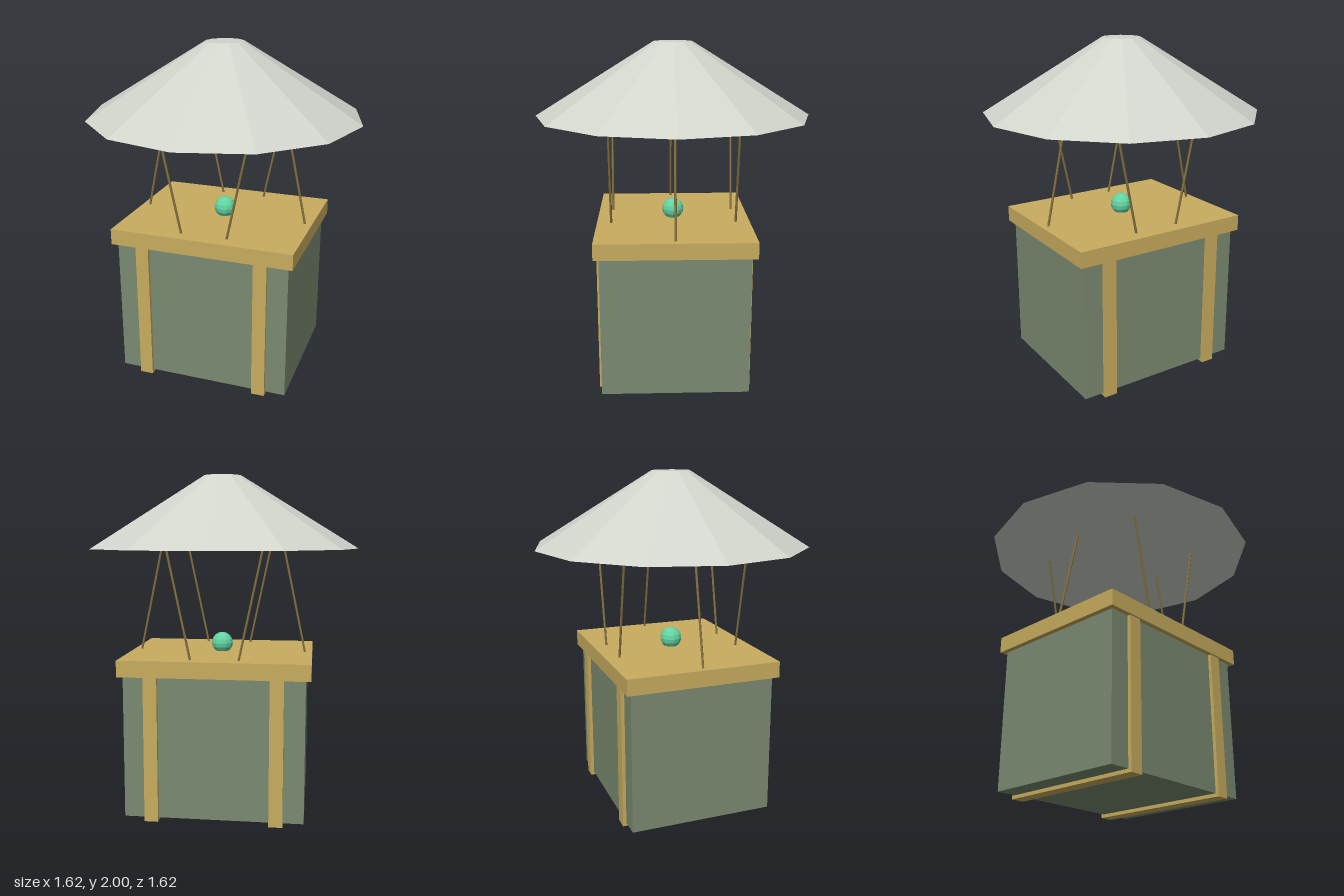
import * as THREE from 'three';

const material = (name, color) => {
  const m = new THREE.MeshStandardMaterial({ color, flatShading: true });
  m.name = name;
  return m;
};

export function createModel() {
  const crateGreen = material('crate green', 0x7a8a70);
  const wood = material('wood', 0xc8ac5e);
  const canvas = material('canvas grey', 0xd0d4cb);
  const rope = material('rope brown', 0x84703f);
  const jade = material('jade', 0x62d4a2);

  const model = new THREE.Group();
  model.name = 'parachuteCrate';
  const add = (name, geometry, mat, x, y, z) => {
    const mesh = new THREE.Mesh(geometry, mat);
    mesh.name = name;
    mesh.position.set(x, y, z);
    model.add(mesh);
    return mesh;
  };

  // Crate, lid and the ball on top
  add('crateBody', new THREE.BoxGeometry(1.04, 0.84, 0.856), crateGreen, 0, 0.44, 0);
  add('lid', new THREE.BoxGeometry(1.1, 0.095, 0.916), wood, 0, 0.899, 0);
  add('ball', new THREE.SphereGeometry(0.065, 12, 8), jade, 0, 0.995, 0);

  // Straps wrapping the front, bottom and back
  for (const s of [-1, 1]) {
    add('strap', new THREE.BoxGeometry(0.08, 0.86, 0.896), wood, s * 0.36, 0.43, 0);
  }

  // Canopy
  add('canopy', new THREE.CylinderGeometry(0.113, 0.812, 0.43, 12), canvas, 0, 1.785, 0);

  // Suspension ropes: [bottom x, top x, z]
  const up = new THREE.Vector3(0, 1, 0);
  const addRope = (x0, x1, z) => {
    const a = new THREE.Vector3(x0, 0.935, z);
    const b = new THREE.Vector3(x1, 1.575, z);
    const d = b.clone().sub(a);
    const mesh = add('rope', new THREE.CylinderGeometry(0.007, 0.007, d.length(), 6), rope,
      (x0 + x1) / 2, (a.y + b.y) / 2, z);
    mesh.quaternion.setFromUnitVectors(up, d.normalize());
  };
  for (const s of [-1, 1]) {
    addRope(s * 0.508, s * 0.373, 0);
    for (const z of [-0.373, 0.373]) addRope(s * 0.137, s * 0.272, z);
  }

  return model;
}
